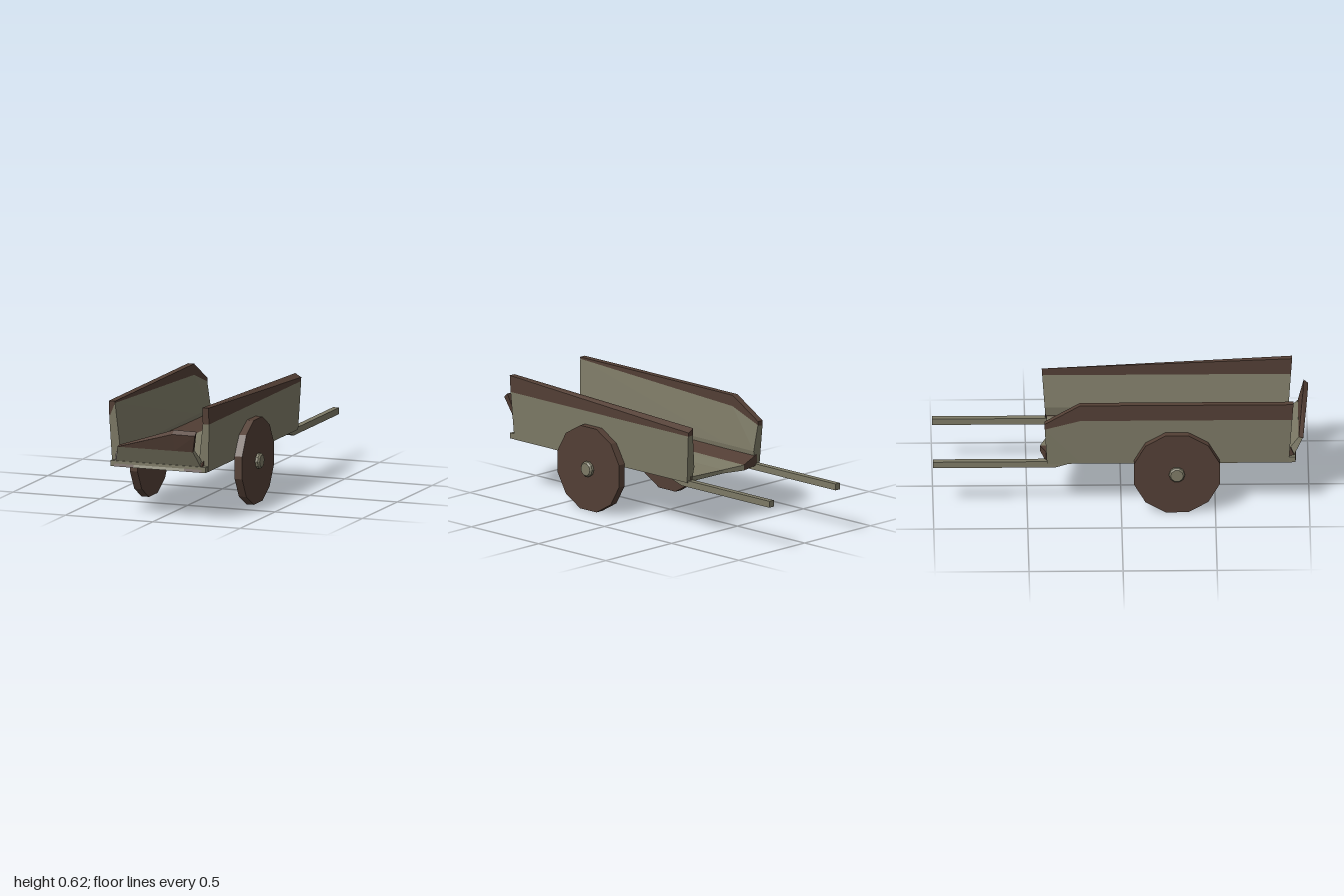
import * as THREE from 'three';

const mat = (color) => new THREE.MeshStandardMaterial({ color, flatShading: true });
const grey = mat(0x7d7a66);
const brown = mat(0x533f35);

// Closed solid through a row of equal-length convex rings of [x, y, z]
function loft(rings) {
  const n = rings[0].length;
  const tris = [];
  for (let i = 0; i + 1 < rings.length; i++) {
    for (let j = 0; j < n; j++) {
      const k = (j + 1) % n;
      const [a, b, c, d] = [rings[i][j], rings[i][k], rings[i + 1][k], rings[i + 1][j]];
      tris.push([a, b, c], [a, c, d]);
    }
  }
  const last = rings[rings.length - 1];
  for (let j = 1; j + 1 < n; j++) {
    tris.push([rings[0][0], rings[0][j + 1], rings[0][j]], [last[0], last[j], last[j + 1]]);
  }
  // The sign of the volume tells whether the faces point outwards
  let volume = 0;
  const [p, q, r] = [new THREE.Vector3(), new THREE.Vector3(), new THREE.Vector3()];
  const o = new THREE.Vector3(...rings[0][0]);
  for (const [a, b, c] of tris) {
    p.set(...a).sub(o);
    q.set(...b).sub(o);
    r.set(...c).sub(o);
    volume += p.dot(q.cross(r));
  }
  if (volume < 0) tris.forEach((t) => t.reverse());
  const g = new THREE.BufferGeometry();
  g.setAttribute('position', new THREE.Float32BufferAttribute(tris.flat(2), 3));
  g.computeVertexNormals();
  return g;
}

export function createModel() {
  const model = new THREE.Group();
  const add = (name, geometry, material) => {
    const mesh = new THREE.Mesh(geometry, material);
    mesh.name = name;
    model.add(mesh);
    return mesh;
  };

  // Side walls: a board below and a worn, darker rail above.
  // Each station: z at foot, z at top, split height outer/inner, top height outer/inner
  const walls = {
    left: [1, [
      [0.89, 0.915, 0.53, 0.53, 0.62, 0.62],
      [-0.395, -0.42, 0.53, 0.53, 0.55, 0.57],
    ]],
    right: [-1, [
      [0.89, 0.915, 0.53, 0.61, 0.62, 0.62],
      [-0.21, -0.22, 0.53, 0.56, 0.62, 0.62],
      [-0.395, -0.415, 0.48, 0.49, 0.51, 0.51],
    ]],
  };
  for (const [side, [s, stations]] of Object.entries(walls)) {
    const at = ([z0, z1], x, y) => [s * x, y, z0 + (z1 - z0) * (y - 0.27) / 0.35];
    add(side + 'Wall', loft(stations.map((t) => [
      at(t, 0.275, 0.27), at(t, 0.285, t[2]), at(t, 0.25, t[3]),
      at(t, 0.226, 0.35), at(t, 0.24, 0.27),
    ])), grey);
    add(side + 'Rail', loft(stations.map((t) => [
      at(t, 0.285, t[2]), at(t, 0.285, t[4]), at(t, 0.25, t[5]), at(t, 0.25, t[3]),
    ])), brown);
  }

  // Floor planks, lofted across the width:
  // x at back, x at front, back z, inner front z, top height back/front
  const floor = [
    [-0.25, -0.25, -0.4, 0.9, 0.33, 0.345],
    [-0.12, -0.14, -0.43, 0.9, 0.3, 0.305],
    [0, 0, -0.395, 0.88, 0.29, 0.3],
    [0.23, 0.15, -0.39, 0.82, 0.295, 0.305],
    [0.25, 0.25, -0.4, 0.88, 0.3, 0.345],
  ].map(([xb, xf, zb, zf, yb, yf]) => [
    [xf, 0.27, 0.93], [xb, 0.27, zb], [xb, yb, zb], [xf, yf, zf], [xf, 0.3, 0.92],
  ]);
  add('floorRightPlank', loft(floor.slice(0, 2)), brown);
  add('floorMiddle', loft(floor.slice(1, 4)), grey);
  add('floorLeftPlank', loft(floor.slice(3)), brown);

  // Front sill filling the corners below the walls
  add('frontSill', new THREE.BoxGeometry(0.546, 0.03, 0.06).translate(0, 0.285, 0.895), grey);

  // Front board, leaning outwards, with a broken upper corner
  add('frontBoard', loft([-1, 1].map((s) => [
    [s * 0.242, 0.3, 0.92], [s * 0.216, 0.385, 0.965],
    [s * 0.216, 0.392, 0.944], [s * 0.235, 0.33, 0.89],
  ])), grey);
  // x at foot, x at top, top height, top z
  add('frontBoardTop', loft([
    [-0.216, -0.216, 0.386, 0.968],
    [0.11, 0.11, 0.48, 0.995],
    [0.216, 0.241, 0.48, 1],
  ].map(([x0, x1, y, z]) => {
    const lift = y > 0.4 ? 0.02 : 0.006;
    return [[x0, 0.385, 0.965], [x1, y, z], [x1, y + lift, z - 0.024], [x0, 0.39, 0.944]];
  })), brown);

  for (const [side, s] of [['left', 1], ['right', -1]]) {
    // Shaft, with its front end bevelled into the underside of the floor
    add(side + 'Shaft', loft([
      [-0.27, 0.269], [-0.35, 0.245], [-1, 0.245],
    ].map(([z, y]) => [
      [s * 0.234, y, z], [s * 0.268, y, z], [s * 0.268, 0.28, z], [s * 0.234, 0.28, z],
    ])), grey);

    // Solid twelve-sided wheel standing on a flat
    const radius = 0.228 / Math.cos(Math.PI / 12);
    const disc = new THREE.CylinderGeometry(radius, radius, 0.043, 12);
    disc.rotateY(Math.PI / 12).rotateZ(Math.PI / 2);
    add(side + 'Wheel', disc, brown).position.set(s * 0.2995, 0.228, 0.295);

    // Chamfered hub cap
    const profile = [[0, 0], [0.042, 0], [0.042, 0.015], [0.034, 0.024], [0, 0.024]];
    const hub = new THREE.LatheGeometry(profile.map((p) => new THREE.Vector2(...p)), 10);
    hub.rotateZ(-s * Math.PI / 2);
    add(side + 'Hub', hub, grey).position.set(s * 0.32, 0.228, 0.295);
  }

  return model;
}
